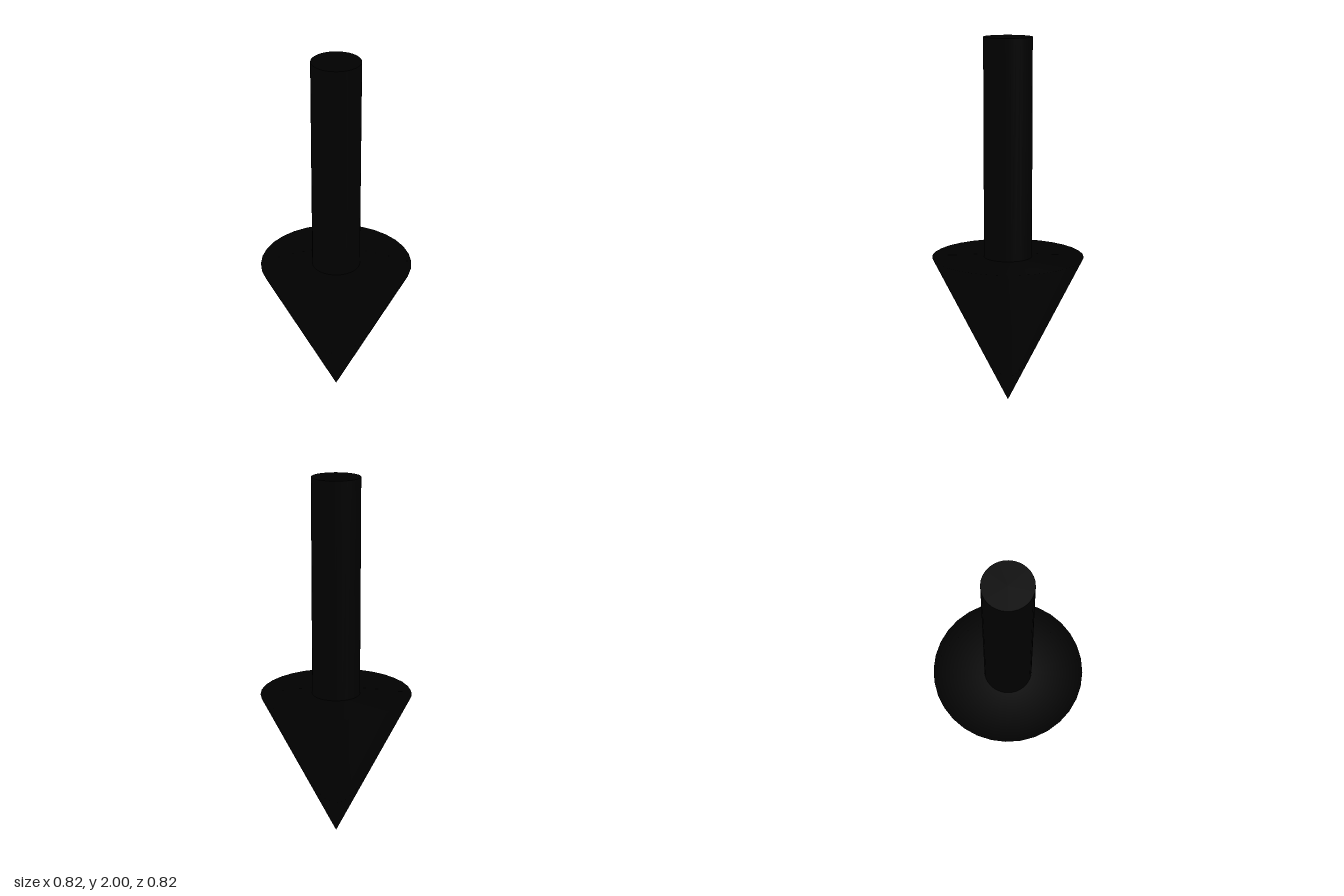
import * as THREE from 'three';
import { mergeVertices } from 'three/addons/utils/BufferGeometryUtils.js';

const SIDES = 32;
const HEAD_HEIGHT = 0.82;
const HEAD_RADIUS = 0.41;
const SHAFT_RADIUS = 0.13;
const TOP = 2;

// Joins the shared corners so the shading runs smoothly over the rim
function smooth(geometry) {
  geometry.deleteAttribute('uv');
  geometry.deleteAttribute('normal');
  const merged = mergeVertices(geometry, 1e-4);
  merged.computeVertexNormals();
  return merged;
}

export function createModel() {
  const model = new THREE.Group();
  model.name = 'downArrow';
  const black = new THREE.MeshStandardMaterial({ color: 0x000000 });

  // Closed cone, tip on the ground
  const head = new THREE.Mesh(
    smooth(new THREE.CylinderGeometry(HEAD_RADIUS, 0, HEAD_HEIGHT, SIDES)), black);
  head.name = 'arrowHead';
  head.position.y = HEAD_HEIGHT / 2;

  // Round shaft standing on the head
  const shaftHeight = TOP - HEAD_HEIGHT;
  const shaft = new THREE.Mesh(
    new THREE.CylinderGeometry(SHAFT_RADIUS, SHAFT_RADIUS, shaftHeight, SIDES), black);
  shaft.name = 'arrowShaft';
  shaft.position.y = HEAD_HEIGHT + shaftHeight / 2;

  model.add(head, shaft);
  return model;
}
